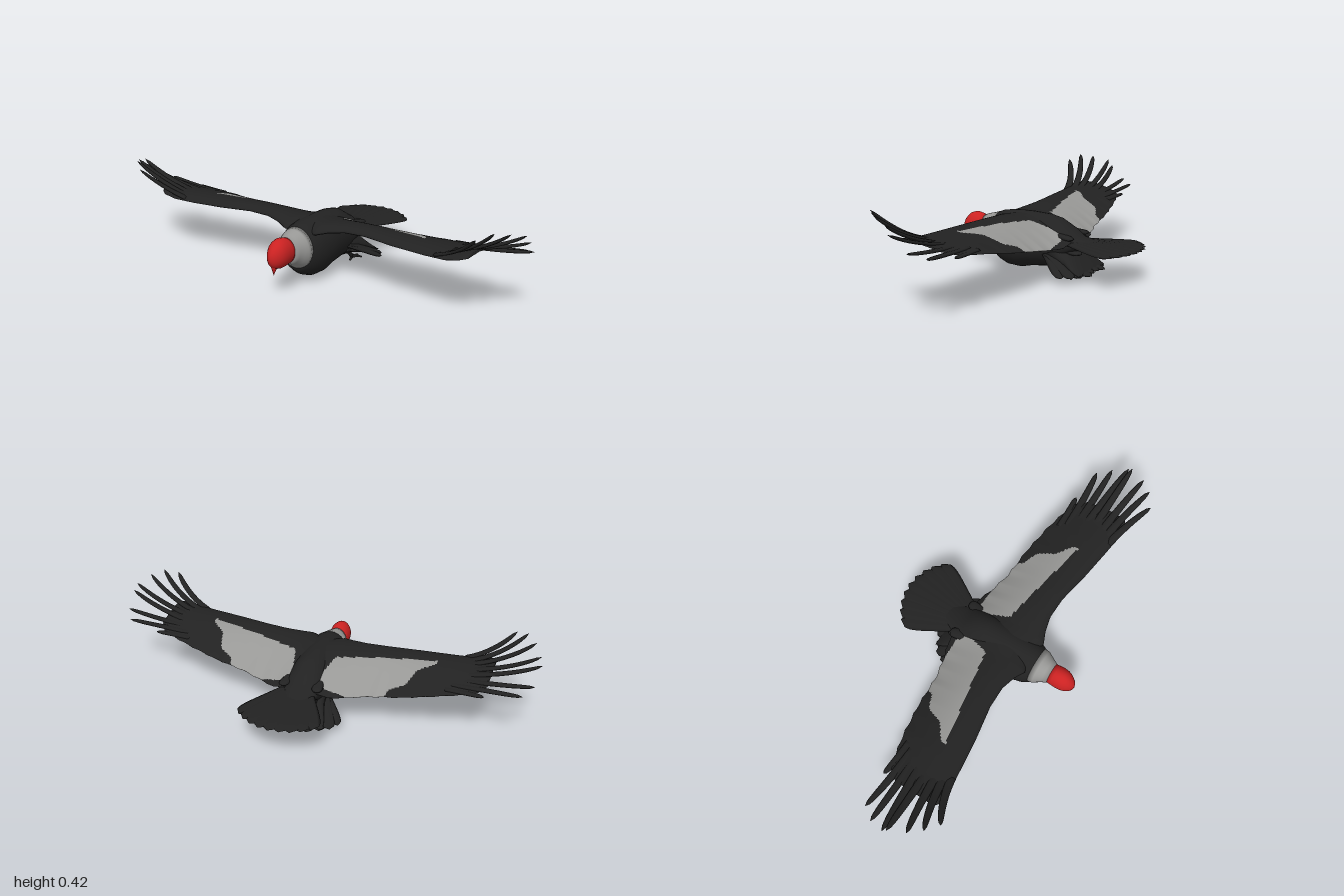
import * as THREE from 'three';

const flat = (name, color) => {
  const m = new THREE.MeshStandardMaterial({ color });
  m.name = name;
  return m;
};
const V = (x, y, z) => new THREE.Vector3(x, y, z);

// Skins a list of rings (counterclockwise about the travel direction) and caps both ends.
// paint(centre, i, j) may return 1 to put a quad in the second material group.
function loft(rings, paint) {
  const n = rings[0].length, pos = [], lists = [[], []];
  rings.forEach(r => r.forEach(p => pos.push(p.x, p.y, p.z)));
  for (let i = 0; i < rings.length - 1; i++) for (let j = 0; j < n; j++) {
    const k = (j + 1) % n, a = i * n + j, b = i * n + k, c = a + n, d = b + n;
    const mid = rings[i][j].clone().add(rings[i + 1][k]).multiplyScalar(0.5);
    lists[paint ? paint(mid, i, j) : 0].push(a, b, c, b, d, c);
  }
  [0, rings.length - 1].forEach((i, end) => {
    const c = rings[i].reduce((s, p) => s.add(p), V(0, 0, 0)).divideScalar(n);
    const ci = pos.push(c.x, c.y, c.z) / 3 - 1;
    for (let j = 0; j < n; j++) {
      const a = i * n + j, b = i * n + (j + 1) % n;
      lists[0].push(...(end ? [ci, a, b] : [ci, b, a]));
    }
  });
  const g = new THREE.BufferGeometry();
  g.setAttribute('position', new THREE.Float32BufferAttribute(pos, 3));
  g.setIndex([...lists[0], ...lists[1]]);
  if (paint) {
    g.addGroup(0, lists[0].length, 0);
    g.addGroup(lists[0].length, lists[1].length, 1);
  }
  g.computeVertexNormals();
  return g;
}

// Mirrored copy across x = 0, with its faces turned back outward
function mirror(geo) {
  const g = geo.clone().scale(-1, 1, 1), ix = g.index.array;
  for (let i = 0; i < ix.length; i += 3) [ix[i + 1], ix[i + 2]] = [ix[i + 2], ix[i + 1]];
  g.computeVertexNormals();
  return g;
}

// Linear lookup in rows whose first value is the ascending key
function sample(rows, x) {
  let i = 0;
  while (i < rows.length - 2 && x > rows[i + 1][0]) i++;
  const t = (x - rows[i][0]) / (rows[i + 1][0] - rows[i][0]);
  return rows[i].map((v, k) => THREE.MathUtils.lerp(v, rows[i + 1][k], t));
}

// Elliptical sections along z: [z, bottom y, top y, half width]
const zLoft = (rows, n = 32) => loft(rows.map(([z, lo, hi, w]) =>
  Array.from({ length: n }, (_, j) => {
    const a = j / n * Math.PI * 2;
    return V(w * Math.cos(a), (lo + hi) / 2 + (hi - lo) / 2 * Math.sin(a), z);
  })));

// Flat feather swept along a curve; root is its relative width at the base
function feather(base, mid, tip, w, h, root = 0.8) {
  const curve = new THREE.QuadraticBezierCurve3(V(...base), V(...mid), V(...tip));
  const rings = [];
  for (let i = 0; i <= 14; i++) {
    const t = i / 14, p = curve.getPoint(t), d = curve.getTangent(t);
    const side = V(0, 1, 0).cross(d).normalize(), nor = d.clone().cross(side);
    const s = Math.sqrt(1 - t ** 8) + 0.03, ww = w * s * (root + (1 - root) * t);
    rings.push(Array.from({ length: 8 }, (_, j) => {
      const a = j / 8 * Math.PI * 2;
      return p.clone().addScaledVector(side, Math.cos(a) * ww).addScaledVector(nor, Math.sin(a) * h * s);
    }));
  }
  return loft(rings);
}

export function createModel() {
  const black = flat('black plumage', 0x222222);
  const grey = flat('grey plumage', 0x989896);
  const red = flat('red skin', 0xcc2222);
  const model = new THREE.Group();
  model.name = 'vulture';
  const add = (name, geo, mat, parent = model) => {
    const m = new THREE.Mesh(geo, mat);
    m.name = name;
    parent.add(m);
  };
  const pair = (name, geo, mat, parent) => {
    add('left ' + name, geo, mat, parent);
    add('right ' + name, mirror(geo), mat, parent);
  };
  const group = name => {
    const g = new THREE.Group();
    g.name = name;
    model.add(g);
    return g;
  };

  // Body, neck ruff, head and hooked beak
  add('body', zLoft([
    [-0.22, 0.15, 0.17, 0.05], [-0.15, 0.12, 0.188, 0.078], [-0.11, 0.085, 0.225, 0.088],
    [-0.05, 0.037, 0.262, 0.094], [0, 0.035, 0.274, 0.098], [0.08, 0.028, 0.28, 0.102],
    [0.14, 0.015, 0.281, 0.106], [0.2, 0.02, 0.278, 0.105], [0.24, 0.037, 0.272, 0.096],
    [0.265, 0.058, 0.262, 0.083], [0.28, 0.08, 0.252, 0.07]]), black);
  add('neck ruff', zLoft([
    [0.262, 0.068, 0.264, 0.084], [0.285, 0.085, 0.257, 0.079], [0.3, 0.098, 0.254, 0.07],
    [0.32, 0.113, 0.248, 0.058], [0.342, 0.124, 0.241, 0.047]]), grey);
  add('head', zLoft([
    [0.335, 0.127, 0.238, 0.045], [0.36, 0.124, 0.246, 0.047], [0.383, 0.122, 0.252, 0.048],
    [0.405, 0.122, 0.249, 0.046], [0.42, 0.126, 0.243, 0.042], [0.435, 0.131, 0.23, 0.034],
    [0.447, 0.14, 0.216, 0.025], [0.455, 0.153, 0.202, 0.015], [0.459, 0.166, 0.188, 0.004]]), red);
  const beak = new THREE.ConeGeometry(0.034, 0.075, 20).rotateX(Math.PI - 0.14);
  add('beak', beak.scale(0.75, 1, 1).translate(0, 0.138, 0.43), red);

  // Wing: arched sections [x, lead z, trail z, lead y, trail y, half thickness]
  const wingRows = [
    [0.02, 0.23, -0.14, 0.23, 0.19, 0.036], [0.08, 0.245, -0.145, 0.24, 0.17, 0.036],
    [0.13, 0.222, -0.14, 0.252, 0.156, 0.034], [0.2, 0.205, -0.115, 0.262, 0.16, 0.03],
    [0.3, 0.207, -0.09, 0.266, 0.174, 0.028], [0.45, 0.233, -0.078, 0.263, 0.198, 0.025],
    [0.6, 0.252, -0.052, 0.263, 0.225, 0.02], [0.7, 0.264, -0.025, 0.267, 0.24, 0.013],
    [0.76, 0.266, 0, 0.28, 0.25, 0.008], [0.79, 0.245, 0.04, 0.286, 0.262, 0.004]];
  const around = 112, spanSteps = 130, rings = [];
  for (let i = 0; i <= spanSteps; i++) {
    const x = 0.02 + 0.77 * i / spanSteps;
    const [, zl, zt, yl, yt, h] = sample(wingRows, x);
    rings.push(Array.from({ length: around }, (_, j) => {
      const a = j / around * Math.PI * 2, t = (1 - Math.sin(a)) / 2;
      const scallop = 0.006 * Math.abs(Math.sin(x * 38)) * t ** 4;
      const y = THREE.MathUtils.lerp(yl, yt, t) + (0.014 + 0.5 * h) * Math.sin(Math.PI * t ** 0.75);
      return V(x, y + h * Math.cos(a) * (1 - 0.7 * t), THREE.MathUtils.lerp(zl, zt, t) + scallop);
    }));
  }
  // Pale panel on both wing faces; dark quill lines run through the lower one
  const outerEdge = [[-0.11, 0.36], [-0.05, 0.38], [-0.02, 0.445], [0.06, 0.475], [0.12, 0.55], [0.15, 0.55]];
  const panel = (p, i, j) => {
    const [, zl, zt] = sample(wingRows, p.x), t = (zl - p.z) / (zl - zt);
    if (j < around / 4 || j >= around * 3 / 4) {
      const inner = 0.06 + 0.4 * Math.max(0, p.z + 0.09) ** 1.2;
      return p.x > inner && p.x < sample(outerEdge, p.z)[1] && p.z < 0.03 + 0.2 * p.x && p.z > -0.108 ? 1 : 0;
    }
    return p.x > 0.11 && p.x < 0.59 && t > 0.36 && t < 0.97 && i % 5 !== 0 ? 1 : 0;
  };
  pair('wing', loft(rings, panel), [black, grey]);

  // Fingered flight feathers: base then tip
  const fingers = group('wing fingers');
  [
    [[0.62, 0.24, 0], [0.79, 0.246, -0.016]],
    [[0.64, 0.25, 0.03], [0.945, 0.272, 0.004]],
    [[0.65, 0.258, 0.065], [0.985, 0.295, 0.062]],
    [[0.66, 0.265, 0.1], [0.995, 0.36, 0.136]],
    [[0.67, 0.27, 0.14], [0.985, 0.392, 0.155]],
    [[0.67, 0.275, 0.18], [0.95, 0.413, 0.232]],
    [[0.67, 0.275, 0.212], [0.905, 0.424, 0.286]],
    [[0.65, 0.272, 0.24], [0.85, 0.4, 0.328]],
  ].forEach(([b, t], k) => {
    const mid = [b[0] + (t[0] - b[0]) * 0.6, b[1] + (t[1] - b[1]) * 0.3, b[2] + (t[2] - b[2]) * 0.3];
    pair('finger ' + (k + 1), feather(b, mid, t, 0.0125, 0.007, 1.5), black, fingers);
  });

  // Tail fan of overlapping feathers, the middle ones on top
  const tail = group('tail');
  for (let k = -4; k <= 4; k++) {
    const a = k * 0.11, r = 0.427 - 0.0022 * k * k, y = 0.161 - 0.0002 * k * k;
    const at = (q, yy) => [0.017 + Math.sin(a) * q, yy, -0.03 - Math.cos(a) * q];
    add('tail feather', feather(at(0.06, y + 0.008), at(r * 0.6, y - 0.002), at(r, y - 0.006), 0.054, 0.008, 0.4), black, tail);
  }

  // Leg feathers flaring down and back from the belly, plus coverts under the tail
  const skirt = group('leg feathers');
  add('flared belly', zLoft([
    [-0.21, 0.028, 0.045, 0.135], [-0.17, 0.03, 0.085, 0.128], [-0.13, 0.032, 0.13, 0.112],
    [-0.09, 0.034, 0.15, 0.098], [-0.03, 0.037, 0.2, 0.09]]), black, skirt);
  [
    [[0.06, 0.11, -0.02], [0.185, 0.034, -0.15], 0.03],
    [[0.06, 0.11, -0.03], [0.16, 0.032, -0.19], 0.035],
    [[0.05, 0.08, -0.03], [0.12, 0.03, -0.215], 0.035],
    [[0.04, 0.07, -0.03], [0.07, 0.03, -0.245], 0.035],
    [[0.02, 0.07, -0.03], [0.025, 0.033, -0.235], 0.035],
    [[0.06, 0.2, -0.06], [0.085, 0.186, -0.155], 0.025],
    [[0.03, 0.13, -0.06], [0.06, 0.118, -0.185], 0.03],
  ].forEach(([b, t, w]) => {
    const mid = b.map((v, i) => (v + t[i]) / 2);
    pair('leg feather', feather(b, mid, t, w, 0.01, 1), black, skirt);
  });
  // Feet with three front toes and one behind
  const feet = group('feet');
  pair('shank', feather([0.05, 0.06, -0.06], [0.05, 0.04, -0.09], [0.05, 0.008, -0.11], 0.009, 0.009, 1), black, feet);
  [[0.025, -0.155], [0.05, -0.165], [0.08, -0.15], [0.055, -0.08]].forEach(([x, z]) =>
    pair('toe', feather([0.05, 0.012, -0.11], [(x + 0.05) / 2, 0.016, (z - 0.11) / 2], [x, 0.005, z], 0.006, 0.005, 1), black, feet));

  return model;
}
